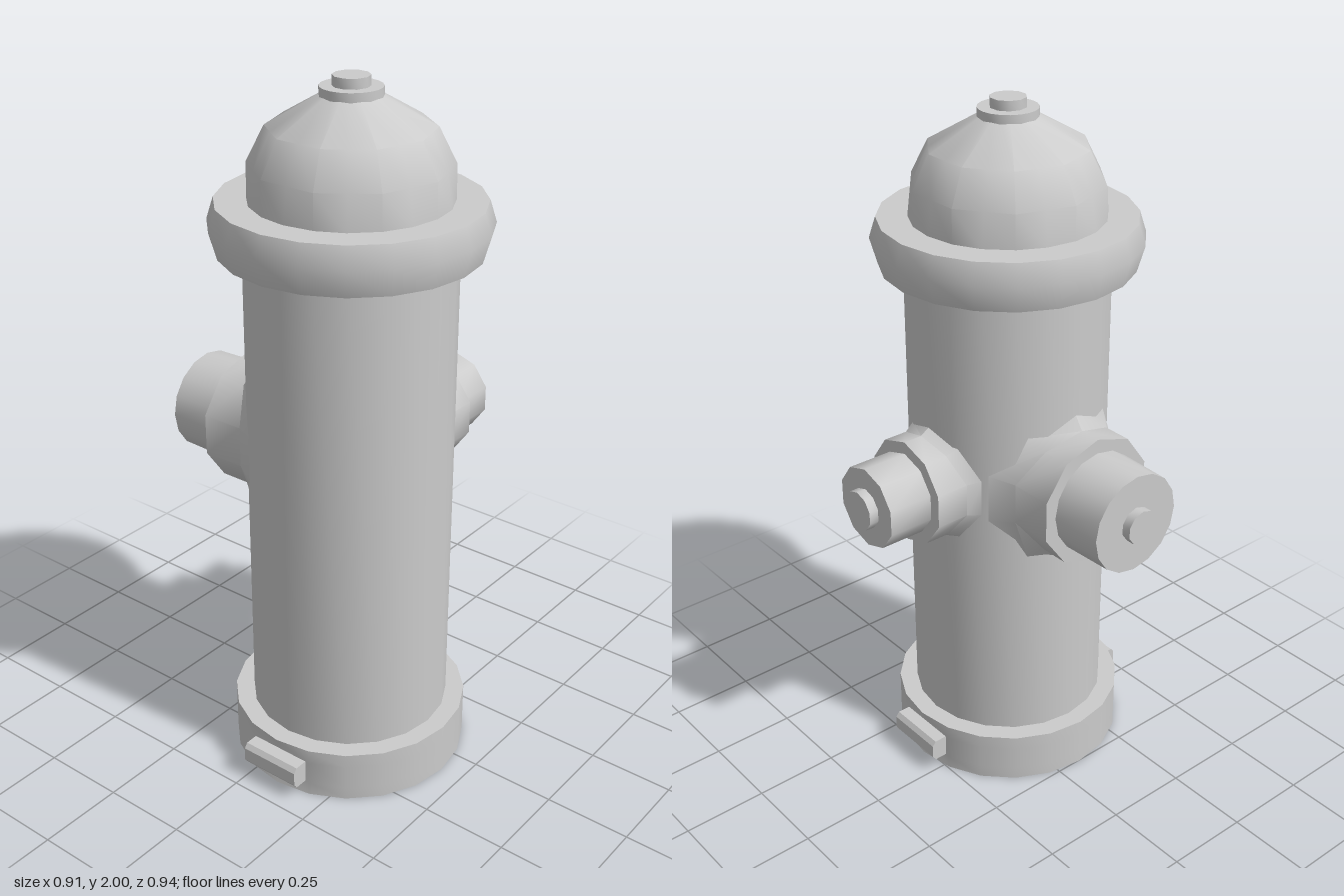
import * as THREE from 'three';
import { toCreasedNormals } from 'three/addons/utils/BufferGeometryUtils.js';

const material = new THREE.MeshStandardMaterial({ color: 0xcccccc });
const BODY_R = 0.288;

// Lathed part; rule(v) may move each vertex before the normals are made
function turned(name, points, sides, rule) {
  const geo = new THREE.LatheGeometry(points.map(([r, y]) => new THREE.Vector2(r, y)), sides);
  if (rule) {
    const pos = geo.attributes.position;
    const v = new THREE.Vector3();
    for (let i = 0; i < pos.count; i++) {
      v.fromBufferAttribute(pos, i);
      rule(v);
      pos.setXYZ(i, v.x, v.y, v.z);
    }
  }
  const mesh = new THREE.Mesh(toCreasedNormals(geo, 0.7), material);
  mesh.name = name;
  return mesh;
}

// Outlet pointing to -z: saddle flare against the barrel, flange, cap and nut
function outlet(name, o) {
  const group = new THREE.Group();
  group.name = name;
  const flange = turned('flange',
    [[o.flareR, 0], [o.flangeR, 0.03], [o.flangeR, o.flangeEnd], [0, o.flangeEnd]], 10,
    (v) => {
      // the two inner rings follow the barrel surface
      if (v.y < 0.04) v.y += Math.sqrt(BODY_R ** 2 - v.x ** 2) - 0.004;
    });
  const cap = turned('cap',
    [[o.capR, o.flangeEnd - 0.01], [o.capTipR, o.capEnd], [0, o.capEnd]], o.capSides);
  const nut = turned('nut', [[o.nutR, o.capEnd - 0.01], [o.nutR, o.nutEnd], [0, o.nutEnd]], 10);
  for (const part of [flange, cap, nut]) {
    part.rotation.x = -Math.PI / 2;
    group.add(part);
  }
  group.position.y = 0.95;
  return group;
}

export function createModel() {
  const model = new THREE.Group();
  model.name = 'hydrant';
  const barrelAxis = new THREE.Group();
  barrelAxis.name = 'hydrantParts';
  barrelAxis.position.set(-0.08, 0, 0.09);
  model.add(barrelAxis);

  // Foot ring with a flat recess behind each side lug
  const base = turned('base',
    [[0, 0], [0.342, 0], [0.342, 0.04], [0.342, 0.11], [0.342, 0.152], [0, 0.152]], 20,
    (v) => {
      if (Math.abs(v.x) > 0.335 && v.y > 0.03 && v.y < 0.12) v.x *= Math.cos(Math.PI / 10);
    });

  const barrel = turned('barrel', [[BODY_R, 0.14], [BODY_R, 1.56]], 20);
  const collar = turned('collar',
    [[0, 1.545], [0.356, 1.545], [0.377, 1.62], [0.358, 1.68], [0, 1.68]], 20);

  // Dome: round foot, ten-sided above
  const dome = turned('dome',
    [[0.272, 1.675], [0.27, 1.775], [0.222, 1.87], [0.08, 1.952]], 20,
    (v) => {
      const step = Math.round(Math.atan2(v.x, v.z) / (Math.PI / 10));
      if (v.y > 1.7 && step % 2 !== 0) {
        v.x *= Math.cos(Math.PI / 10);
        v.z *= Math.cos(Math.PI / 10);
      }
    });

  const topWasher = turned('topWasher',
    [[0, 1.948], [0.083, 1.948], [0.083, 1.973], [0, 1.973]], 20);
  const topNut = turned('topNut', [[0.05, 1.965], [0.05, 2], [0, 2]], 10);
  barrelAxis.add(base, barrel, collar, dome, topWasher, topNut);

  // Side lugs on the foot ring
  const profile = new THREE.Shape([
    [0.31, 0.042], [0.364, 0.042], [0.375, 0.056],
    [0.375, 0.096], [0.364, 0.11], [0.31, 0.11],
  ].map(([x, y]) => new THREE.Vector2(x, y)));
  const lugGeo = new THREE.ExtrudeGeometry(profile, { depth: 0.186, bevelEnabled: false });
  lugGeo.translate(0, 0, -0.093);
  for (const [name, turn] of [['leftLug', 0], ['rightLug', Math.PI]]) {
    const lug = new THREE.Mesh(lugGeo, material);
    lug.name = name;
    lug.rotation.y = turn;
    barrelAxis.add(lug);
  }

  // Large outlet at the back, small one on the left
  const backOutlet = outlet('backOutlet', {
    flareR: 0.235, flangeR: 0.192, flangeEnd: 0.378,
    capR: 0.15, capTipR: 0.146, capEnd: 0.535, capSides: 16, nutR: 0.051, nutEnd: 0.562,
  });
  const leftOutlet = outlet('leftOutlet', {
    flareR: 0.176, flangeR: 0.156, flangeEnd: 0.372,
    capR: 0.12, capTipR: 0.12, capEnd: 0.507, capSides: 10, nutR: 0.058, nutEnd: 0.535,
  });
  leftOutlet.rotation.y = -Math.PI / 2;
  barrelAxis.add(backOutlet, leftOutlet);

  return model;
}
